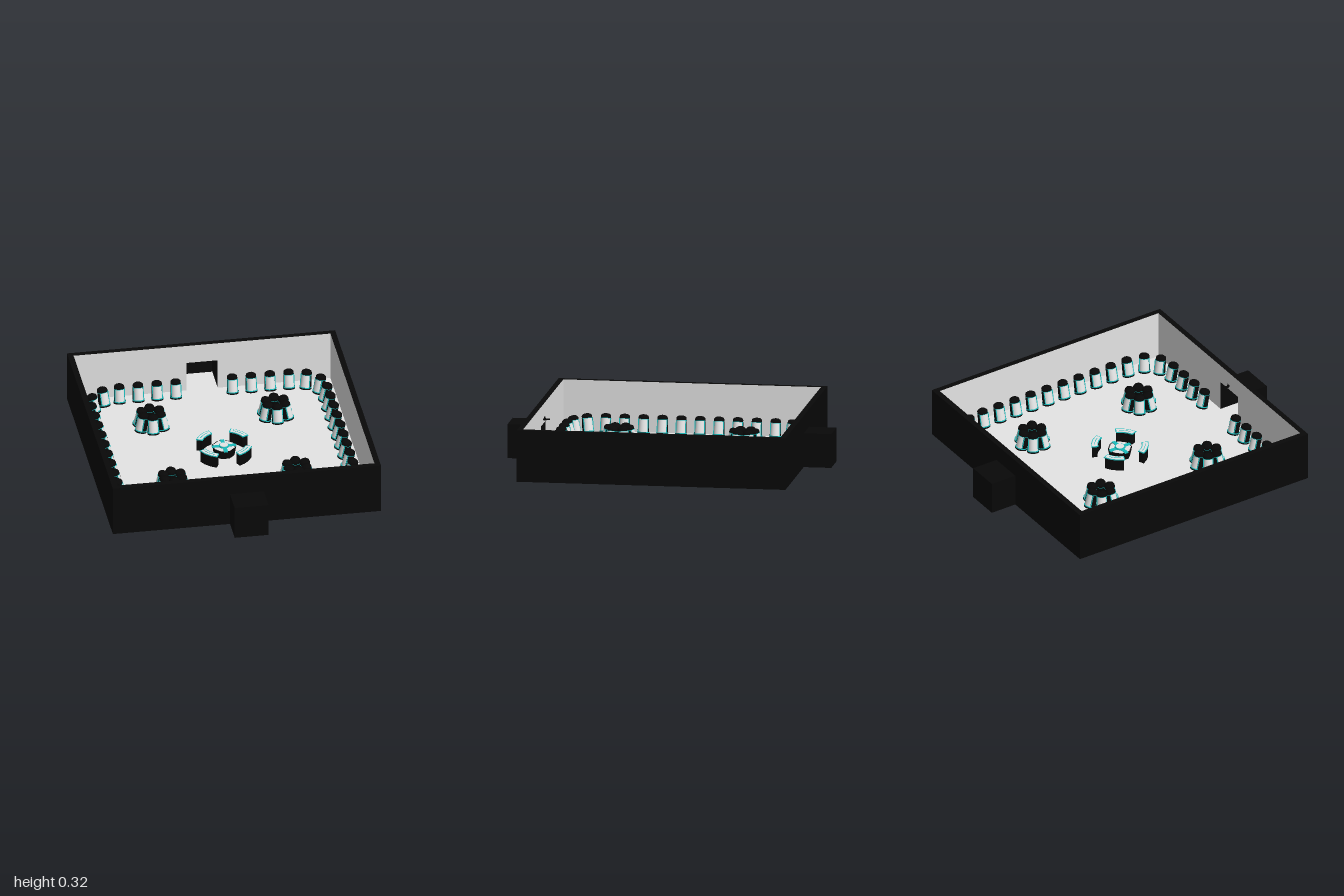
import * as THREE from 'three';

const mat = (name, color) => {
  const m = new THREE.MeshStandardMaterial({ color, side: THREE.DoubleSide });
  m.name = name;
  return m;
};

const WALL = 0.83, INNER = 0.795, HEIGHT = 0.32, FLOOR = 0.006;
const DOOR_W = 0.097, DOOR_H = 0.2;

export function createModel() {
  const black = mat('black', 0x080808);
  const pale = mat('paleGrey', 0xe5e5e5);
  const cyan = mat('cyan', 0x1abcbc);
  const model = new THREE.Group();
  model.name = 'podRoom';

  const add = (parent, name, geo, material, x = 0, y = 0, z = 0) => {
    const m = new THREE.Mesh(geo, material);
    m.name = name;
    m.position.set(x, y, z);
    parent.add(m);
    return m;
  };
  const box = (parent, name, material, w, h, d, x, y, z) =>
    add(parent, name, new THREE.BoxGeometry(w, h, d), material, x, y, z);
  const outline = (pts) => pts.map(([x, y]) => new THREE.Vector2(x, y));
  const square = (h) => outline([[-h, -h], [h, -h], [h, h], [-h, h]]);

  // Wall outline with a doorway notch
  const doorWall = (half) => new THREE.ShapeGeometry(new THREE.Shape(outline([
    [-half, 0], [-DOOR_W, 0], [-DOOR_W, DOOR_H], [DOOR_W, DOOR_H],
    [DOOR_W, 0], [half, 0], [half, HEIGHT], [-half, HEIGHT],
  ])));

  // Floor and the black rim joining the outer skins to the pale linings
  box(model, 'floor', pale, INNER * 2, FLOOR - 0.001, INNER * 2, 0, FLOOR / 2 + 0.0005, 0);
  const rim = new THREE.Shape(square(WALL));
  rim.holes.push(new THREE.Path(square(INNER)));
  add(model, 'wallRim', new THREE.ShapeGeometry(rim).rotateX(-Math.PI / 2), black, 0, HEIGHT, 0);

  // Hollow walls, open below, and the entrance corridors
  for (const s of [1, -1]) {
    const side = (name, half, material) => {
      add(model, name, new THREE.PlaneGeometry(half * 2, HEIGHT), material, s * half, HEIGHT / 2, 0)
        .rotation.y = (material === pale ? -s : s) * Math.PI / 2;
    };
    side('sideWall', WALL, black);
    side('sideLining', INNER, pale);

    const end = new THREE.Group();
    end.name = 'entranceEnd';
    end.rotation.y = s > 0 ? 0 : Math.PI;
    model.add(end);
    add(end, 'endWall', doorWall(WALL), black, 0, 0, WALL);
    add(end, 'endLining', doorWall(INNER), pale, 0, 0, INNER).rotation.y = Math.PI;
    box(end, 'corridorRoof', black, 0.21, 0.01, 0.204, 0, 0.205, 0.898);
    box(end, 'corridorEnd', black, 0.21, 0.2, 0.008, 0, 0.1, 0.996);
    box(end, 'corridorFloor', pale, DOOR_W * 2, FLOOR - 0.001, 0.197, 0, FLOOR / 2 + 0.0005, 0.8935);
    for (const t of [1, -1])
      box(end, 'corridorSide', black, 0.008, 0.2, 0.204, t * 0.101, 0.1, 0.898);
  }
  // Small fitting above the front door
  add(model, 'doorFitting', new THREE.ConeGeometry(0.012, 0.03, 4), black, 0, 0.235, 0.785).scale.x = 0.5;
  box(model, 'doorFittingArm', black, 0.006, 0.008, 0.04, 0, 0.228, 0.775);

  // Reclined pod: faces +z, top leans towards -z
  const OPEN = 1.1;
  const cyl = (r1, r2, h, start = 0, length = Math.PI * 2, open = false) =>
    new THREE.CylinderGeometry(r1, r2, h, 20, 1, open, start, length);
  const dome = new THREE.LatheGeometry(
    outline([[0.032, 0], [0.032, 0.012], [0.029, 0.02], [0.019, 0.027], [0, 0.03]]), 20);
  const parts = [
    ['podFoot', cyl(0.036, 0.037, 0.01), black, 0.004],
    ['podFootRing', cyl(0.038, 0.038, 0.005), cyan, 0.0105],
    ['podWindow', cyl(0.03, 0.033, 0.08, -OPEN, OPEN * 2, true), pale, 0.052],
    ['podShell', cyl(0.032, 0.035, 0.08, OPEN, Math.PI * 2 - OPEN * 2, true), black, 0.052],
    ['podTopRing', cyl(0.033, 0.033, 0.003), cyan, 0.091],
    ['podCap', dome, black, 0.092],
  ];
  const edge = new THREE.BoxGeometry(0.005, 0.08, 0.005);
  const addPod = (x, z, yaw) => {
    const pod = new THREE.Group();
    pod.name = 'pod';
    pod.position.set(x, FLOOR + 0.006, z);
    pod.rotation.set(-0.22, yaw, 0, 'YXZ');
    for (const [name, geo, material, y] of parts) add(pod, name, geo, material, 0, y, 0);
    for (const s of [1, -1])
      add(pod, 'podEdge', edge, cyan, s * 0.033 * Math.sin(OPEN), 0.052, 0.033 * Math.cos(OPEN));
    model.add(pod);
  };

  // Pods along the walls, facing inwards
  for (const s of [1, -1]) {
    for (let i = 0; i < 10; i++) addPod(s * 0.708, -0.527 + i * 0.1165, -s * Math.PI / 2);
    for (const t of [1, -1]) {
      const back = t > 0 ? 0 : Math.PI;
      for (let i = 0; i < 4; i++) addPod(s * (0.175 + i * 0.1165), -t * 0.708, back);
      for (const [x, z] of [[0.622, 0.69], [0.69, 0.625]]) {
        const a = x < z ? Math.PI / 6 : Math.PI / 3;
        addPod(s * x, -t * z, Math.atan2(-s * Math.sin(a), t * Math.cos(a)));
      }
      // Cluster of six pods, facing outwards
      for (let i = 0; i < 6; i++) {
        const a = i * Math.PI / 3;
        addPod(s * 0.385 + 0.083 * Math.sin(a), t * 0.387 + 0.083 * Math.cos(a), a);
      }
    }
  }

  // Central table: octagonal rim, cyan cross and raised hub
  const table = new THREE.Group();
  table.name = 'centreTable';
  table.position.y = FLOOR;
  model.add(table);
  const oct = (r1, r2, h) => new THREE.CylinderGeometry(r1, r2, h, 8).rotateY(Math.PI / 8).toNonIndexed();
  add(table, 'tableBase', oct(0.075, 0.065, 0.055), black, 0, 0.0275, 0);
  add(table, 'tableTop', oct(0.068, 0.068, 0.004), pale, 0, 0.0545, 0);
  for (const a of [0, Math.PI / 2])
    box(table, 'tableSpoke', cyan, 0.148, 0.008, 0.024, 0, 0.056, 0).rotation.y = a;
  add(table, 'hubRing', cyl(0.031, 0.034, 0.012), cyan, 0, 0.059, 0);
  add(table, 'hub', cyl(0.026, 0.026, 0.004), pale, 0, 0.0645, 0);

  // Curved desks on the diagonals, three facets each
  const arc = (r0, r1, half, depth) => {
    const pts = [];
    for (let i = 0; i <= 3; i++) pts.push([r1, -half + i * half * 2 / 3]);
    for (let i = 3; i >= 0; i--) pts.push([r0, -half + i * half * 2 / 3]);
    const shape = new THREE.Shape(outline(pts.map(([r, a]) => [r * Math.cos(a), r * Math.sin(a)])));
    return new THREE.ExtrudeGeometry(shape, { depth, bevelEnabled: false }).rotateX(-Math.PI / 2);
  };
  const deskParts = [
    ['deskBody', arc(0.138, 0.172, 0.36, 0.082), black, 0],
    ['deskTrim', arc(0.134, 0.176, 0.39, 0.005), cyan, 0.08],
    ['deskPanel', arc(0.139, 0.171, 0.355, 0.003), pale, 0.083],
    ['deskStripe', arc(0.153, 0.156, 0.25, 0.002), cyan, 0.085],
  ];
  for (let i = 0; i < 4; i++) {
    const desk = new THREE.Group();
    desk.name = 'curvedDesk';
    desk.rotation.y = Math.PI / 4 + i * Math.PI / 2;
    for (const [name, geo, material, y] of deskParts) add(desk, name, geo, material, 0, y, 0);
    model.add(desk);
  }
  return model;
}
